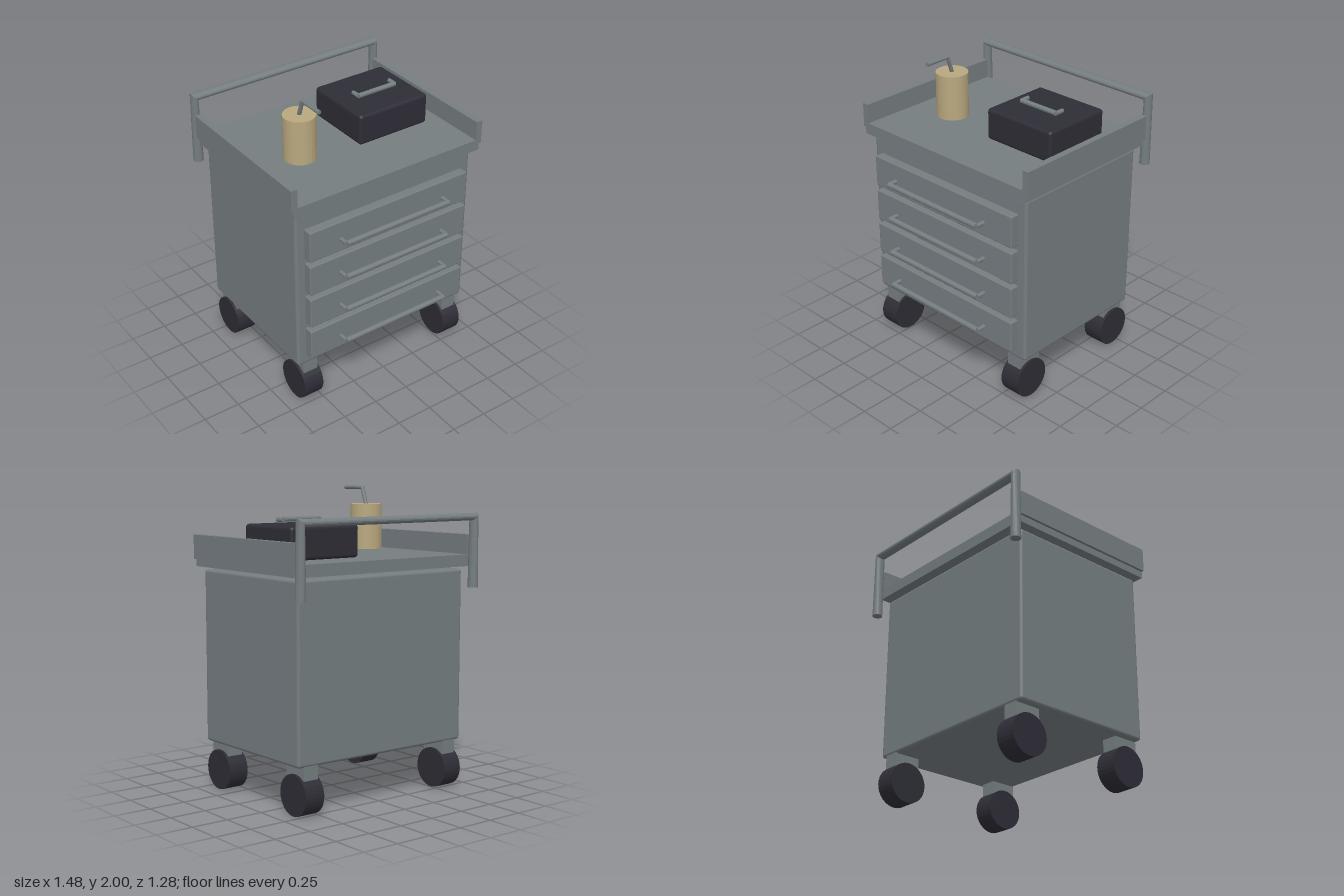
import * as THREE from 'three';
import { RoundedBoxGeometry } from 'three/addons/geometries/RoundedBoxGeometry.js';

const material = (name, color) => {
  const m = new THREE.MeshStandardMaterial({ color });
  m.name = name;
  return m;
};

// Straight-sided tube with mitred corners, along points in one plane whose normal is given
function mitredTube(points, radius, normal, sides = 16) {
  const pts = points.map((p) => new THREE.Vector3(...p));
  const n = new THREE.Vector3(...normal);
  const pos = [], index = [];
  pts.forEach((p, i) => {
    const t = new THREE.Vector3();
    if (i > 0) t.add(p.clone().sub(pts[i - 1]).normalize());
    if (i < pts.length - 1) t.add(pts[i + 1].clone().sub(p).normalize());
    t.normalize();
    const b = new THREE.Vector3().crossVectors(t, n);
    for (let j = 0; j < sides; j++) {
      const a = (j / sides) * Math.PI * 2;
      const v = p.clone().addScaledVector(n, Math.cos(a) * radius).addScaledVector(b, Math.sin(a) * radius);
      pos.push(v.x, v.y, v.z);
    }
  });
  for (let i = 0; i < pts.length - 1; i++) {
    for (let j = 0; j < sides; j++) {
      const k = (j + 1) % sides;
      const a = i * sides + j, b = i * sides + k, c = a + sides, d = b + sides;
      index.push(a, c, b, b, c, d);
    }
  }
  // End caps
  const last = (pts.length - 1) * sides;
  for (let j = 1; j < sides - 1; j++) {
    index.push(0, j, j + 1, last, last + j + 1, last + j);
  }
  // Make sure the faces point outward
  const at = (k) => new THREE.Vector3().fromArray(pos, k * 3);
  const face = at(index[1]).sub(at(index[0])).cross(at(index[2]).sub(at(index[0])));
  if (face.dot(at(0).sub(pts[0])) < 0) {
    for (let k = 0; k < index.length; k += 3) [index[k], index[k + 1]] = [index[k + 1], index[k]];
  }
  const g = new THREE.BufferGeometry();
  g.setAttribute('position', new THREE.Float32BufferAttribute(pos, 3));
  g.setIndex(index);
  const flat = g.toNonIndexed();
  flat.computeVertexNormals();
  return flat;
}

function cylinder(radius, length, axis = 'y', sides = 24) {
  const g = new THREE.CylinderGeometry(radius, radius, length, sides).toNonIndexed();
  g.computeVertexNormals();
  if (axis === 'x') g.rotateZ(Math.PI / 2);
  if (axis === 'z') g.rotateX(Math.PI / 2);
  return g;
}

// Box from its limits, with optional rounded edges
function box(x0, x1, y0, y1, z0, z1, r = 0) {
  const s = [x1 - x0, y1 - y0, z1 - z0];
  const g = r ? new RoundedBoxGeometry(...s, 3, r) : new THREE.BoxGeometry(...s);
  return g.translate((x0 + x1) / 2, (y0 + y1) / 2, (z0 + z1) / 2);
}

export function createModel() {
  const grey = material('grey metal', 0x757d80);
  const dark = material('dark rubber', 0x2e2d36);
  const tan = material('tan cup', 0xb9a87f);
  const model = new THREE.Group();
  model.name = 'toolCart';

  const add = (name, geometry, mat, parent = model) => {
    const mesh = new THREE.Mesh(geometry, mat);
    mesh.name = name;
    parent.add(mesh);
    return mesh;
  };

  // Bar handle on two short stubs reaching back
  function handle(name, half, barRadius, stubRadius, x, y, z) {
    const group = new THREE.Group();
    group.name = name;
    add('handleBar', cylinder(barRadius, half * 2, 'x', 12), grey, group);
    for (const s of [-1, 1]) {
      add('handleStub', cylinder(stubRadius, 0.06, 'z', 12), grey, group).position.set(s * half, 0, -0.03);
    }
    group.position.set(x, y, z);
    model.add(group);
  }

  // Cabinet and drawers
  add('cabinet', box(-0.675, 0.675, 0.32, 1.465, -0.54, 0.48, 0.02), grey);
  for (let i = 0; i < 4; i++) {
    const y = 0.5 + i * 0.25;
    add('drawer', box(-0.61, 0.61, y - 0.108, y + 0.108, 0.46, 0.54, 0.008), grey);
    handle('drawerHandle', 0.395, 0.018, 0.014, 0, y, 0.62);
  }

  // Tray top with a raised panel on each side
  add('trayTop', box(-0.707, 0.707, 1.483, 1.56, -0.58, 0.525), grey);
  for (const s of [-1, 1]) {
    add('sidePanel', box(-0.022, 0.022, 1.53, 1.69, -0.578, 0.525).translate(s * 0.703, 0, 0), grey);
  }

  // Push rail at the back
  add('pushRail', mitredTube(
    [[-0.706, 1.345, -0.61], [-0.706, 1.807, -0.61], [0.706, 1.807, -0.61], [0.706, 1.345, -0.61]],
    0.034, [0, 0, 1]), grey);

  // Casters
  for (const s of [-1, 1]) {
    for (const z of [0.382, -0.445]) {
      add('casterBracket', box(-0.053, 0.053, 0.235, 0.33, -0.09, 0.09), grey).position.set(s * 0.575, 0, z);
      add('wheel', cylinder(0.133, 0.14, 'x', 32), dark).position.set(s * 0.575, 0.133, z);
    }
  }

  // Small case with its handle
  add('case', box(0.037, 0.571, 1.56, 1.77, -0.338, 0.16, 0.022), dark);
  handle('caseHandle', 0.144, 0.016, 0.014, 0.303, 1.8, -0.028);

  // Cup and bent straw
  add('cup', cylinder(0.106, 0.3, 'y', 32), tan).position.set(-0.361, 1.73, 0.073);
  add('straw', mitredTube(
    [[-0.361, 1.84, 0.06], [-0.361, 1.988, 0.11], [-0.361, 1.988, 0.29]],
    0.014, [1, 0, 0], 12), grey);

  return model;
}
